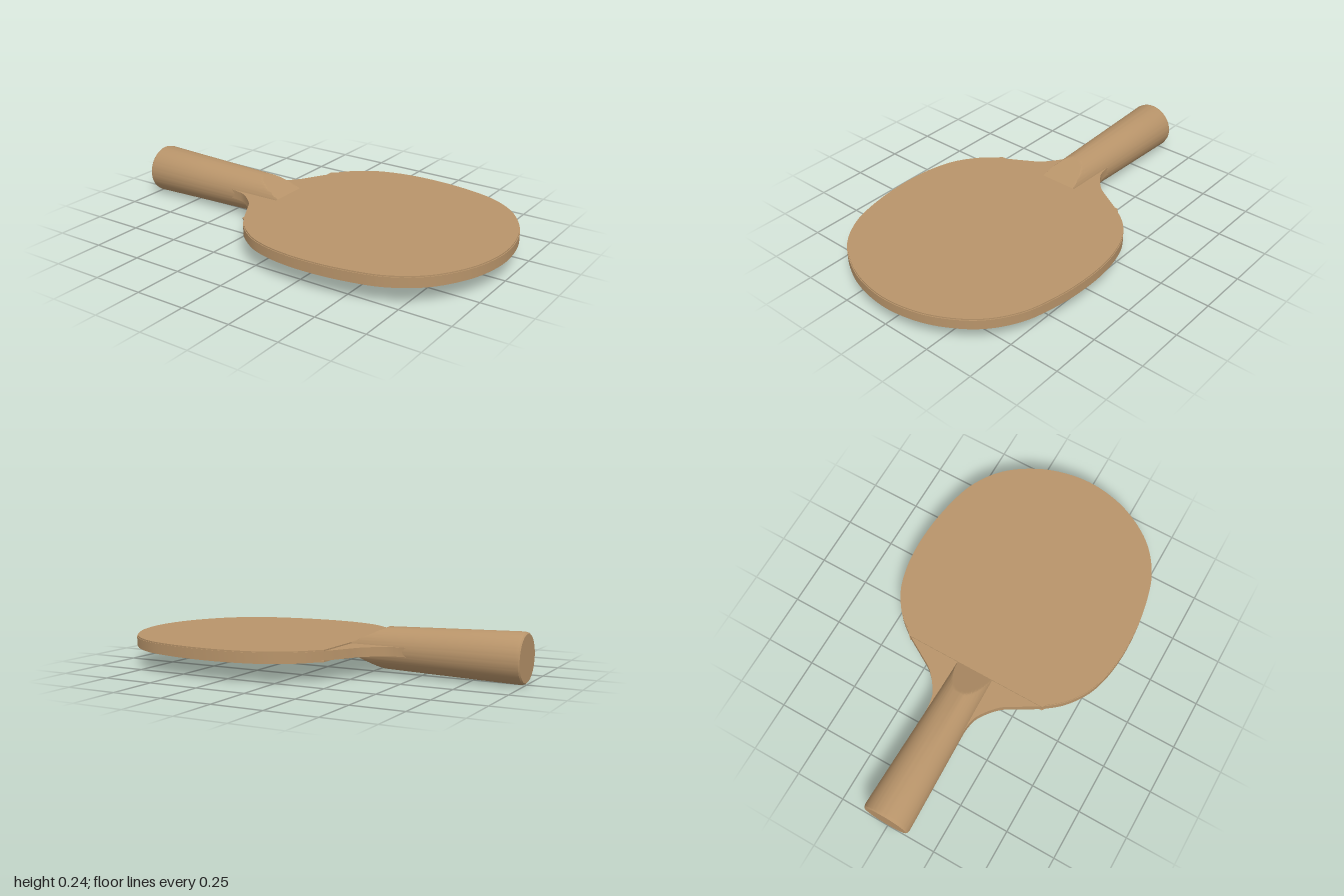
import * as THREE from 'three';
import { toCreasedNormals } from 'three/addons/utils/BufferGeometryUtils.js';

const MID = 0.119; // height of the centre plane
const wood = new THREE.MeshStandardMaterial({ color: 0xb8946a });

// half outline of the blade, from the neck to the tip
const half = [
  [-0.5, 0.1], [-0.42, 0.107], [-0.36, 0.127], [-0.28, 0.192], [-0.23, 0.27], [-0.17, 0.37],
  [-0.1, 0.455], [0, 0.525], [0.1, 0.56], [0.2, 0.577], [0.31, 0.582], [0.45, 0.573],
  [0.6, 0.545], [0.7, 0.51], [0.8, 0.447], [0.88, 0.362], [0.95, 0.24], [0.987, 0.12], [1, 0],
];

function outline() {
  const mirrored = half.slice(0, -1).reverse().map(([x, z]) => [x, -z]);
  const pts = [...half, ...mirrored].map(([x, z]) => new THREE.Vector2(x, z));
  return new THREE.SplineCurve(pts).getPoints(180);
}

// horizontal slab with its underside at y
function slab(name, points, y, thickness) {
  const geo = new THREE.ExtrudeGeometry(new THREE.Shape(points), { depth: thickness, bevelEnabled: false });
  geo.rotateX(Math.PI / 2).translate(0, y + thickness, 0);
  const mesh = new THREE.Mesh(toCreasedNormals(geo, 0.6), wood);
  mesh.name = name;
  return mesh;
}

// round grip whose top and bottom are cut down to a wedge at the blade
function handle() {
  const sides = 96;
  // x, radius, half height
  const rings = [
    [-1, 0, 0.119], [-1, 0.11, 0.119], [-0.994, 0.116, 0.119], [-0.98, 0.119, 0.119], [-0.65, 0.11, 0.119],
  ];
  for (let i = 0; i <= 16; i++) {
    const t = i / 16;
    rings.push([-0.33 + 0.155 * t, 0.101 - 0.003 * t, 0.101 - 0.075 * t]);
  }
  rings.push([-0.175, 0, 0.026]);
  const pos = [], index = [];
  for (const [x, r, h] of rings) {
    for (let j = 0; j < sides; j++) {
      const a = (j / sides) * Math.PI * 2;
      pos.push(x, MID + THREE.MathUtils.clamp(r * Math.sin(a), -h, h), r * Math.cos(a));
    }
  }
  for (let i = 0; i < rings.length - 1; i++) {
    for (let j = 0; j < sides; j++) {
      const k = (j + 1) % sides;
      const a = i * sides + j, b = i * sides + k, c = a + sides, d = b + sides;
      if (i > 0) index.push(a, d, b);
      if (i < rings.length - 2) index.push(a, c, d);
      else index.push(a, c, b);
      if (i === 0) index.push(a, c, d);
    }
  }
  const geo = new THREE.BufferGeometry();
  geo.setAttribute('position', new THREE.Float32BufferAttribute(pos, 3));
  geo.setIndex(index);
  // keep the outward side of every face in front
  const mesh = new THREE.Mesh(toCreasedNormals(orient(geo), 0.45), wood);
  mesh.name = 'handle';
  return mesh;
}

// flip the winding if the closed surface is inside out
function orient(geo) {
  const p = geo.attributes.position, idx = geo.index.array;
  const v = [0, 1, 2].map(() => new THREE.Vector3());
  let volume = 0;
  for (let i = 0; i < idx.length; i += 3) {
    v.forEach((q, n) => q.fromBufferAttribute(p, idx[i + n]));
    volume += v[0].dot(v[1].clone().cross(v[2]));
  }
  if (volume < 0) for (let i = 0; i < idx.length; i += 3) [idx[i], idx[i + 1]] = [idx[i + 1], idx[i]];
  return geo;
}

export function createModel() {
  const group = new THREE.Group();
  group.name = 'paddle';
  const edge = outline();
  group.add(slab('blade', edge, MID - 0.022, 0.044));

  // facing sheets, slightly inset and cut straight across the neck
  const facing = edge
    .filter((p) => p.x > -0.178)
    .map((p) => new THREE.Vector2(0.35 + (p.x - 0.35) * 0.994, p.y * 0.994));
  facing[0].x = facing[facing.length - 1].x = -0.178;
  group.add(slab('topFacing', facing, MID + 0.021, 0.007));
  group.add(slab('bottomFacing', facing, MID - 0.028, 0.007));

  group.add(handle());
  return group;
}
